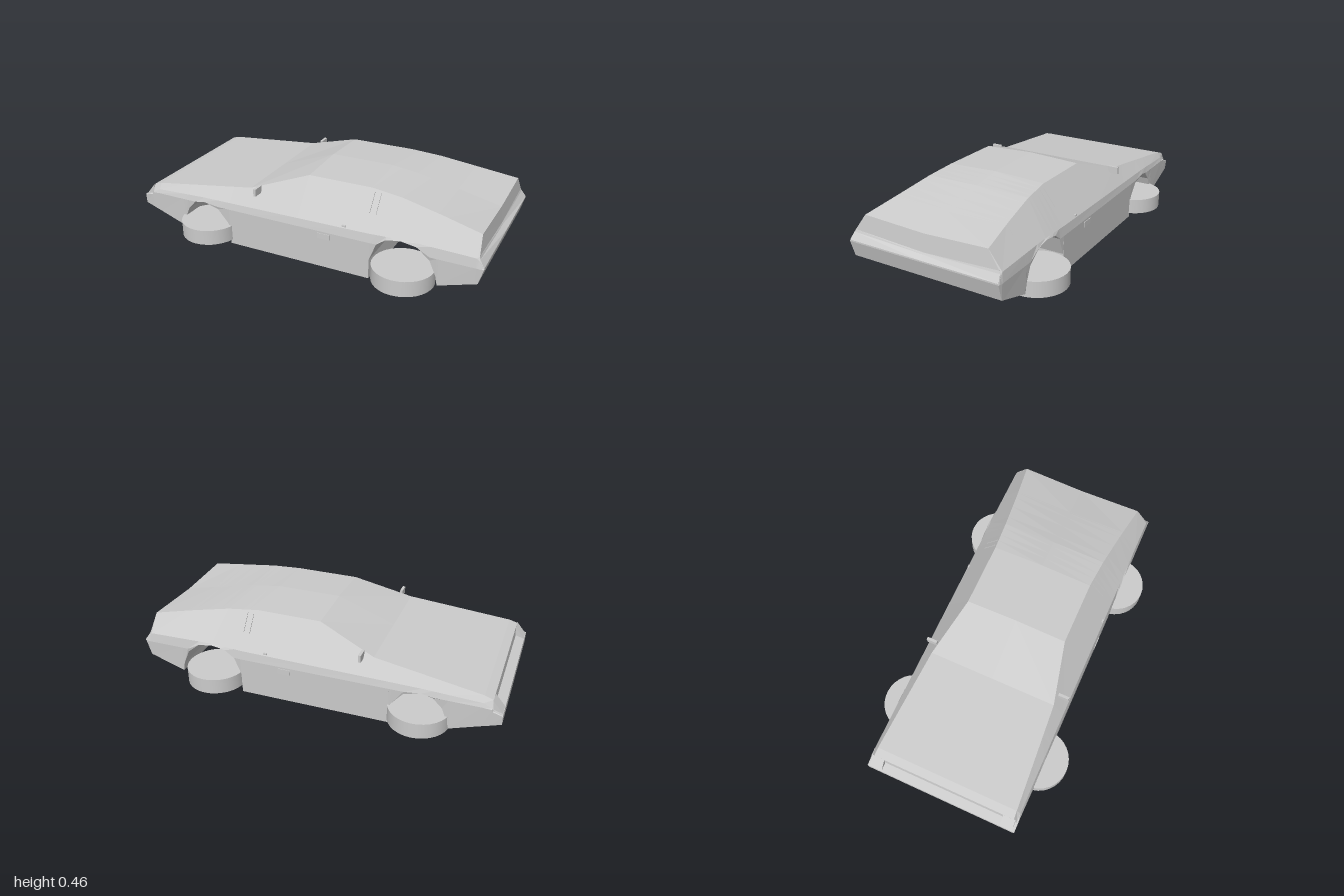
import * as THREE from 'three';

const Z0 = -0.007; // slight sideways offset of the shell
const mat = new THREE.MeshStandardMaterial({ color: 0xcccccc, flatShading: true });
const wheelMat = new THREE.MeshStandardMaterial({ color: 0xcccccc });

// Side profile: [x, roof edge height, roof edge half width, crown at the centre line]
const ROOF = [
  [-1, 0.186, 0.432, 0], [-0.95, 0.2, 0.43, 0], [-0.945, 0.25, 0.41, 0], [-0.9, 0.264, 0.407, 0],
  [-0.32, 0.335, 0.365, 0], [0, 0.443, 0.288, 0.012], [0.36, 0.445, 0.288, 0.011],
  [0.53, 0.43, 0.301, 0.004], [0.75, 0.393, 0.327, -0.005], [0.96, 0.355, 0.357, -0.014],
  [0.97, 0.268, 0.418, -0.02], [0.975, 0.255, 0.425, -0.015], [1, 0.22, 0.433, 0],
];
// Shoulder crease: [x, height]
const BELT = [[-1, 0.184], [-0.9, 0.232], [-0.6, 0.245], [0.4, 0.258], [0.6, 0.268], [0.96, 0.26], [1, 0.218]];
// Underside with both wheel arches: [x, height]
const FLOOR = [
  [-1, 0.13], [-0.95, 0.113], [-0.945, 0.111], [-0.9, 0.096], [-0.74, 0.04], [-0.73, 0.08], [-0.7, 0.155],
  [-0.65, 0.205], [-0.59, 0.22], [-0.5, 0.195], [-0.44, 0.125], [-0.425, 0.1], [-0.425, 0],
  [-0.32, 0], [0, 0], [0.36, 0], [0.41, 0], [0.41, 0.11], [0.45, 0.21], [0.5, 0.247], [0.53, 0.253],
  [0.58, 0.26], [0.66, 0.248], [0.73, 0.19], [0.765, 0.11], [0.775, 0.06], [0.96, 0.12],
  [0.97, 0.123], [0.975, 0.125], [1, 0.212],
];

function sample(table, x, column) {
  let i = 1;
  while (i < table.length - 1 && table[i][0] < x) i++;
  const a = table[i - 1], b = table[i];
  return THREE.MathUtils.lerp(a[column], b[column], (x - a[0]) / (b[0] - a[0]));
}

// Body: half cross-sections mirrored into rings and joined along x
function bodyGeometry() {
  const positions = [], index = [], n = 9;
  for (const [x, bottom] of FLOOR) {
    const top = sample(ROOF, x, 1), edge = sample(ROOF, x, 2), crown = sample(ROOF, x, 3);
    const belt = Math.max(Math.min(sample(BELT, x, 1), top - 0.002), bottom + 0.004);
    const low = Math.max(Math.min(0.21, belt - 0.003), bottom + 0.001);
    const half = [[0.432, bottom], [0.436, low], [Math.max(0.428, edge), belt], [edge, top]];
    const ring = [...half, [0, top + crown], ...half.map(([z, y]) => [-z, y]).reverse()];
    for (const [z, y] of ring) positions.push(x, y, z + Z0);
  }
  const last = (FLOOR.length - 1) * n;
  for (let s = 0; s < last; s += n) {
    for (let j = 0; j < n; j++) {
      const k = (j + 1) % n;
      index.push(s + j, s + n + j, s + n + k, s + j, s + n + k, s + k);
    }
  }
  for (let j = 1; j < n - 1; j++) index.push(0, j, j + 1, last, last + j + 1, last + j);
  const indexed = new THREE.BufferGeometry();
  indexed.setAttribute('position', new THREE.Float32BufferAttribute(positions, 3));
  indexed.setIndex(index);
  const geometry = indexed.toNonIndexed();
  geometry.computeVertexNormals();
  return geometry;
}

export function createModel() {
  const group = new THREE.Group();
  const add = (name, geometry, x, y, z, material = mat) => {
    const mesh = new THREE.Mesh(geometry, material);
    mesh.name = name;
    mesh.position.set(x, y, z);
    group.add(mesh);
    return mesh;
  };

  add('body', bodyGeometry(), 0, 0, 0);

  // Wedges that close the front grille recess at its corners
  const wedge = new THREE.Shape([[-0.998, 0.186], [-0.949, 0.198], [-0.944, 0.25]].map(p => new THREE.Vector2(...p)));
  const wedgeGeometry = new THREE.ExtrudeGeometry(wedge, { depth: 0.07, bevelEnabled: false });

  // Wheels lying flat under the arches
  const wheelGeometry = new THREE.CylinderGeometry(0.165, 0.165, 0.086, 32);
  const mirrorGeometry = new THREE.BoxGeometry(0.015, 0.04, 0.06);
  const handleGeometry = new THREE.BoxGeometry(0.07, 0.03, 0.008);
  const lockGeometry = new THREE.BoxGeometry(0.02, 0.008, 0.01);
  const slatGeometry = new THREE.BoxGeometry(0.006, 0.11, 0.006);

  for (const [side, s] of [['left', 1], ['right', -1]]) {
    add(`${side}GrilleCorner`, wedgeGeometry, 0, 0, (s > 0 ? 0.35 : -0.42) + Z0);
    add(`${side}FrontWheel`, wheelGeometry, -0.575, 0.068, s * 0.39, wheelMat);
    add(`${side}RearWheel`, wheelGeometry, 0.585, 0.068, s * 0.39, wheelMat);
    add(`${side}Mirror`, mirrorGeometry, -0.26, 0.342, s * 0.393 + Z0 / 2);
    add(`${side}DoorHandle`, handleGeometry, 0.155, 0.185, s * 0.435 + Z0);
    add(`${side}DoorLock`, lockGeometry, 0.265, 0.266, s * 0.422 + Z0);
    // Thin slats following the slope of the side glass
    for (const x of [0.38, 0.415]) {
      add(`${side}PillarSlat`, slatGeometry, x, 0.385, s * 0.335 + Z0).rotation.x = -s * 0.645;
    }
  }
  return group;
}
